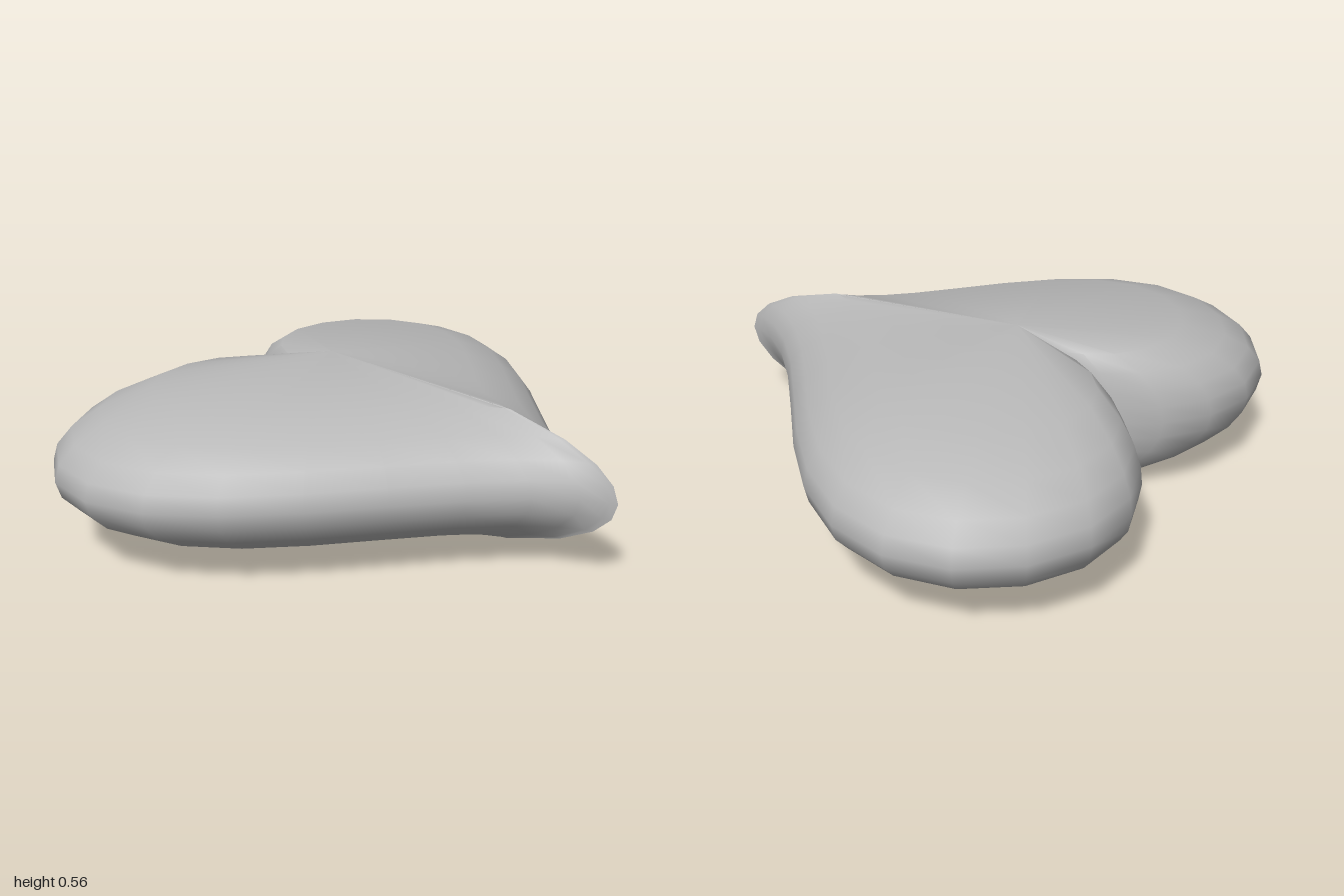
import * as THREE from 'three';
import { toCreasedNormals } from 'three/addons/utils/BufferGeometryUtils.js';

const SEGMENTS = 36;      // points around the outline
const LAYERS = 5;         // height steps from the rim to each peak
const HALF_HEIGHT = 0.2825;
const CENTRE_Z = -0.252;  // the outline shrinks towards this point

// Classic heart curve, notch at the back and tip at the front
function heartPoint(t) {
  const x = Math.sin(t) ** 3;
  const y = (13 * Math.cos(t) - 5 * Math.cos(2 * t) - 2 * Math.cos(3 * t) - Math.cos(4 * t)) / 16;
  return [x, -y - 0.1585];
}

function heartGeometry() {
  const positions = [];
  const index = [];

  // Stacked outlines, scaled down towards top and bottom
  for (let j = 1 - LAYERS; j < LAYERS; j++) {
    const h = j / LAYERS;
    const s = (1 - h * h) ** 0.42;
    for (let i = 0; i < SEGMENTS; i++) {
      const [x, z] = heartPoint((i / SEGMENTS) * Math.PI * 2);
      positions.push(x * s, HALF_HEIGHT * (1 + h), CENTRE_Z + (z - CENTRE_Z) * s);
    }
  }
  const rings = 2 * LAYERS - 1;
  const bottom = rings * SEGMENTS;
  const top = bottom + 1;
  positions.push(0, 0, CENTRE_Z, 0, 2 * HALF_HEIGHT, CENTRE_Z);

  for (let i = 0; i < SEGMENTS; i++) {
    const n = (i + 1) % SEGMENTS;
    // Sides
    for (let j = 0; j < rings - 1; j++) {
      const a = j * SEGMENTS + i;
      const b = j * SEGMENTS + n;
      const c = b + SEGMENTS;
      const d = a + SEGMENTS;
      index.push(a, d, c, a, c, b);
    }
    // Shallow peaks
    const last = (rings - 1) * SEGMENTS;
    index.push(last + n, last + i, top, i, n, bottom);
  }

  const geometry = new THREE.BufferGeometry();
  geometry.setAttribute('position', new THREE.Float32BufferAttribute(positions, 3));
  geometry.setIndex(index);
  // Keeps the crease along the middle sharp
  return toCreasedNormals(geometry, THREE.MathUtils.degToRad(45));
}

export function createModel() {
  const grey = new THREE.MeshStandardMaterial({ color: 0xb8b8b8 });
  grey.name = 'grey';

  const heart = new THREE.Mesh(heartGeometry(), grey);
  heart.name = 'heart';

  const model = new THREE.Group();
  model.name = 'puffyHeart';
  model.add(heart);
  return model;
}
